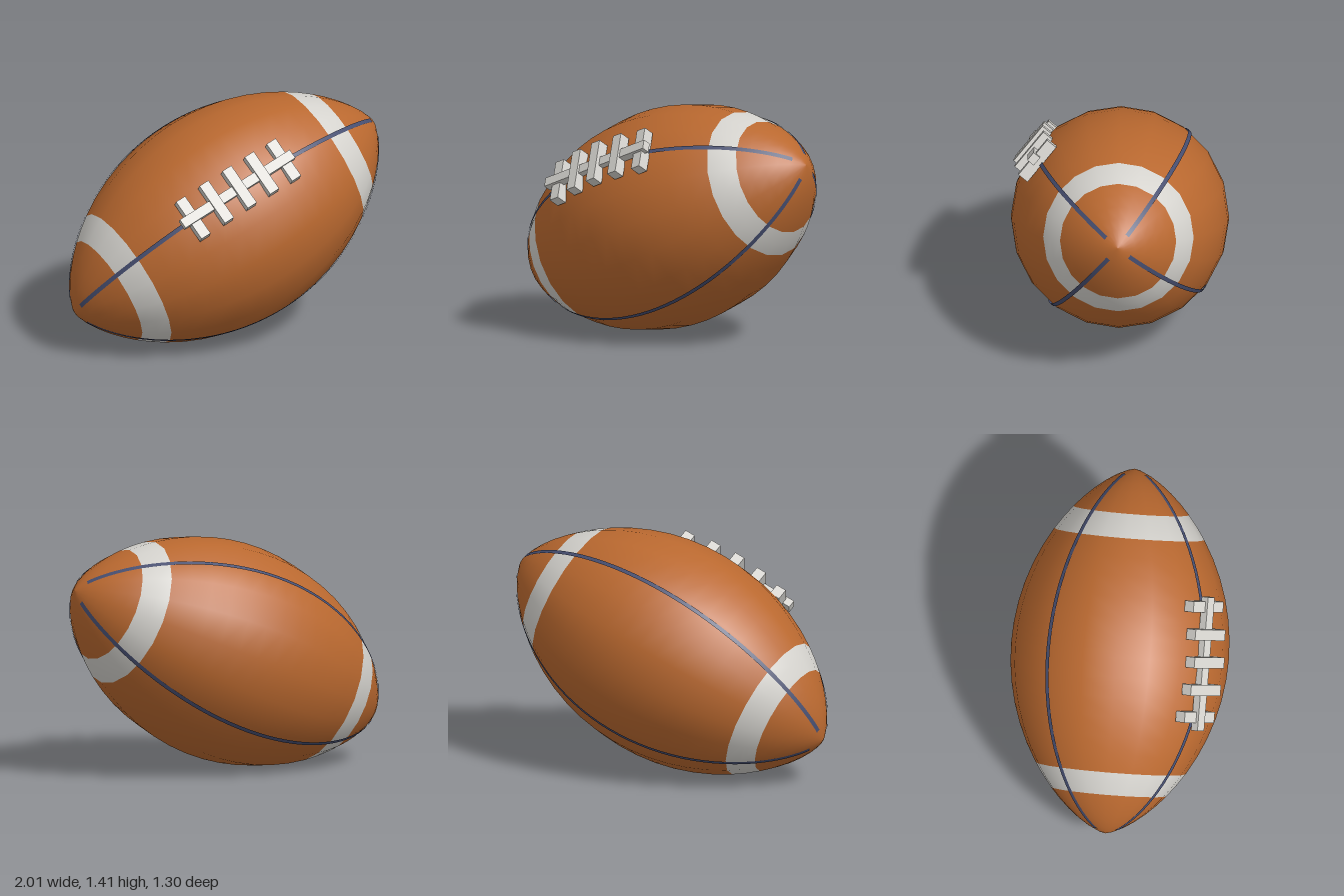
import * as THREE from 'three';

const HALF = 1.09, RADIUS = 0.65, SIDES = 20;
const BAND = [0.70, 0.84];
const SEAM_ANGLE = THREE.MathUtils.degToRad(51); // from up towards the front

const flat = (name, color, side = THREE.FrontSide) => {
  const m = new THREE.MeshStandardMaterial({ color, side });
  m.name = name;
  return m;
};

// radius of the ball at distance u along its long axis
const radiusAt = (u) => RADIUS * Math.pow(Math.max(0, 1 - (u / HALF) ** 2), 0.7);

// Turned hull along x, with rings on the band edges and faces grouped by colour
function hullGeometry() {
  const half = [0.12, 0.24, 0.36, 0.48, 0.59, 0.70, 0.77, 0.84, 0.9, 0.96, 1.01, 1.05, 1.08, HALF];
  const us = [...half.map((u) => -u).reverse(), 0, ...half];
  const geo = new THREE.LatheGeometry(us.map((u) => new THREE.Vector2(radiusAt(u), u)), SIDES);
  const n = us.length, lists = [[], []];
  for (let j = 0; j < n - 1; j++) {
    const mid = Math.abs(us[j] + us[j + 1]) / 2;
    const list = lists[mid > BAND[0] && mid < BAND[1] ? 1 : 0];
    for (let i = 0; i < SIDES; i++) {
      const a = i * n + j, b = a + n;
      list.push(a, b, a + 1, b + 1, a + 1, b);
    }
  }
  geo.setIndex([...lists[0], ...lists[1]]);
  geo.clearGroups();
  geo.addGroup(0, lists[0].length, 0);
  geo.addGroup(lists[0].length, lists[1].length, 1);
  return geo.rotateZ(-Math.PI / 2);
}

// Thin ribbon just above the hull, running tip to tip
function seamGeometry() {
  const pos = [], index = [], steps = 48, end = 1.06, w = 0.013;
  for (let i = 0; i <= steps; i++) {
    const u = end * Math.sin((i / steps - 0.5) * Math.PI);
    const r = radiusAt(u) + 0.005;
    pos.push(u, r, -w, u, r, w);
    if (i < steps) {
      const k = 2 * i;
      index.push(k, k + 1, k + 2, k + 1, k + 3, k + 2);
    }
  }
  const geo = new THREE.BufferGeometry();
  geo.setAttribute('position', new THREE.Float32BufferAttribute(pos, 3));
  geo.setIndex(index);
  geo.computeVertexNormals();
  return geo;
}

export function createModel() {
  const leather = flat('brown leather', 0xb9682f);
  const white = flat('off white', 0xd4d2cd);
  const navy = flat('dark blue seam', 0x464e70, THREE.DoubleSide);

  const model = new THREE.Group();
  model.name = 'football';
  const ball = new THREE.Group();
  ball.name = 'tiltedBall';
  ball.position.y = 0.705;
  ball.rotation.z = THREE.MathUtils.degToRad(23.5);
  model.add(ball);

  const add = (parent, name, geo, mat) => {
    const mesh = new THREE.Mesh(geo, mat);
    mesh.name = name;
    parent.add(mesh);
    return mesh;
  };

  // leather hull with its two painted bands
  add(ball, 'hullWithBands', hullGeometry(), [leather, white]);

  // four seams
  const seam = seamGeometry();
  for (let i = 0; i < 4; i++) {
    add(ball, 'seam', seam, navy).rotation.x = SEAM_ANGLE + i * Math.PI / 2;
  }

  // laces: one long strip and five crossbars, on the upper front seam
  const laces = new THREE.Group();
  laces.name = 'laces';
  laces.rotation.x = SEAM_ANGLE;
  ball.add(laces);
  add(laces, 'laceStrip', new THREE.BoxGeometry(0.8, 0.05, 0.06), white).position.set(-0.01, 0.657, 0);
  const bar = new THREE.BoxGeometry(0.065, 0.07, 0.27);
  for (let i = -2; i <= 2; i++) {
    const u = i * 0.165;
    add(laces, 'laceCrossbar', bar, white).position.set(u, radiusAt(u) + 0.022, 0);
  }
  return model;
}
